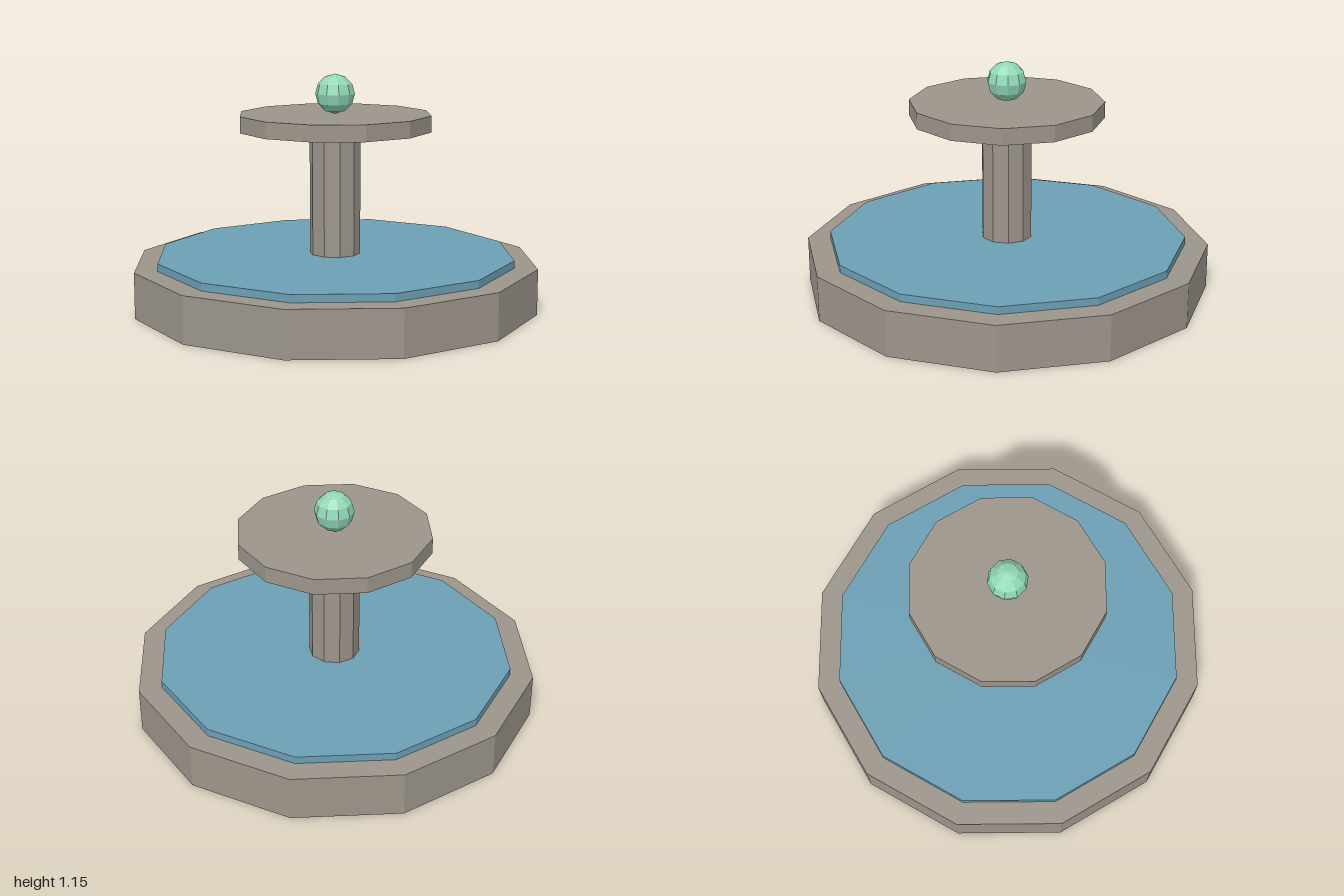
import * as THREE from 'three';

const material = (name, color) => {
  const m = new THREE.MeshStandardMaterial({ color, flatShading: true });
  m.name = name;
  return m;
};

export function createModel() {
  const group = new THREE.Group();
  group.name = 'fountain';
  const stone = material('stone', 0x9c958b);
  const water = material('water', 0x6c9fb4);
  const jade = material('pale green', 0x92d8b8);

  const add = (name, geometry, mat, y) => {
    const mesh = new THREE.Mesh(geometry, mat);
    mesh.name = name;
    mesh.position.y = y;
    group.add(mesh);
    return mesh;
  };
  // Upright faceted disc from y0 to y1
  const disc = (name, radius, y0, y1, sides, mat) =>
    add(name, new THREE.CylinderGeometry(radius, radius, y1 - y0, sides), mat, (y0 + y1) / 2);

  disc('basin', 1, 0, 0.225, 12, stone);
  disc('waterSurface', 0.886, 0.225, 0.262, 12, water);
  disc('column', 0.125, 0.225, 0.875, 10, stone);
  disc('upperBowl', 0.475, 0.873, 0.953, 12, stone);

  // Faceted ball, turned so a corner faces the front
  const ball = add('finialBall', new THREE.SphereGeometry(0.097, 10, 6), jade, 1.05);
  ball.rotation.y = Math.PI / 2;

  return group;
}
